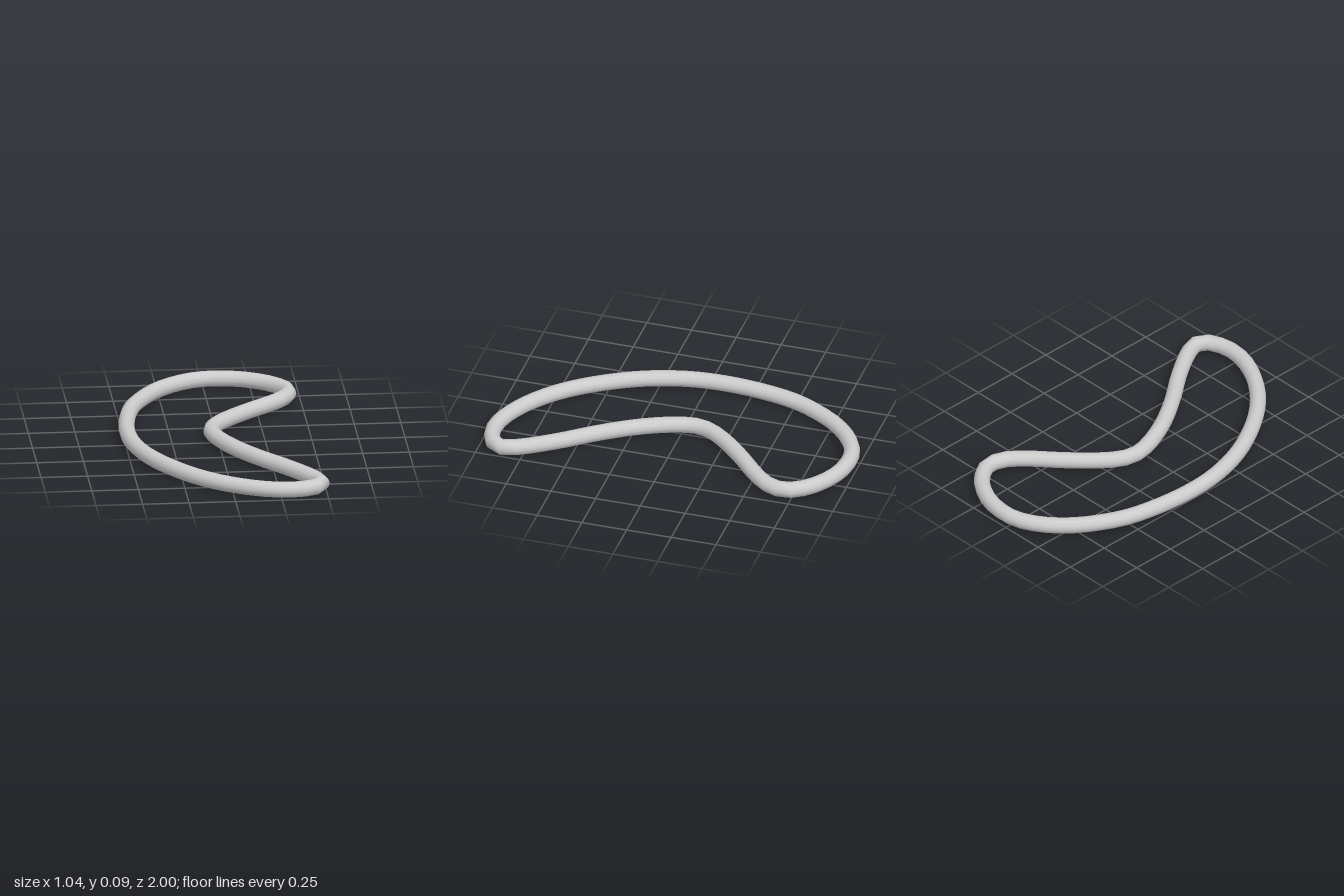
import * as THREE from 'three';

const RADIUS = 0.0435;

// Centre line of the ring as [x, z]
const PATH = [
  [0.08, -0.955], [0.205, -0.93], [0.33, -0.86], [0.405, -0.78], [0.437, -0.7],
  [0.405, -0.6], [0.33, -0.515], [0.19, -0.39], [0.06, -0.257], [-0.015, -0.15],
  [-0.034, -0.066], [-0.013, 0.04], [0.066, 0.22], [0.188, 0.41], [0.33, 0.595],
  [0.442, 0.77], [0.474, 0.855], [0.447, 0.91], [0.384, 0.942], [0.3, 0.956],
  [0.188, 0.938], [0.03, 0.865], [-0.13, 0.74], [-0.267, 0.574], [-0.394, 0.347],
  [-0.463, 0.124], [-0.482, -0.066], [-0.468, -0.288], [-0.42, -0.51],
  [-0.34, -0.675], [-0.267, -0.78], [-0.16, -0.88], [-0.034, -0.945],
];

export function createModel() {
  const group = new THREE.Group();
  group.name = 'bentRing';

  // Closed crescent loop of round tube lying flat
  const points = PATH.map(([x, z]) => new THREE.Vector3(x, RADIUS, z));
  const curve = new THREE.CatmullRomCurve3(points, true, 'centripetal');
  const ring = new THREE.Mesh(
    new THREE.TubeGeometry(curve, 72, RADIUS, 12, true),
    new THREE.MeshStandardMaterial({ color: 0xcccccc }),
  );
  ring.name = 'crescentTube';
  group.add(ring);

  return group;
}
